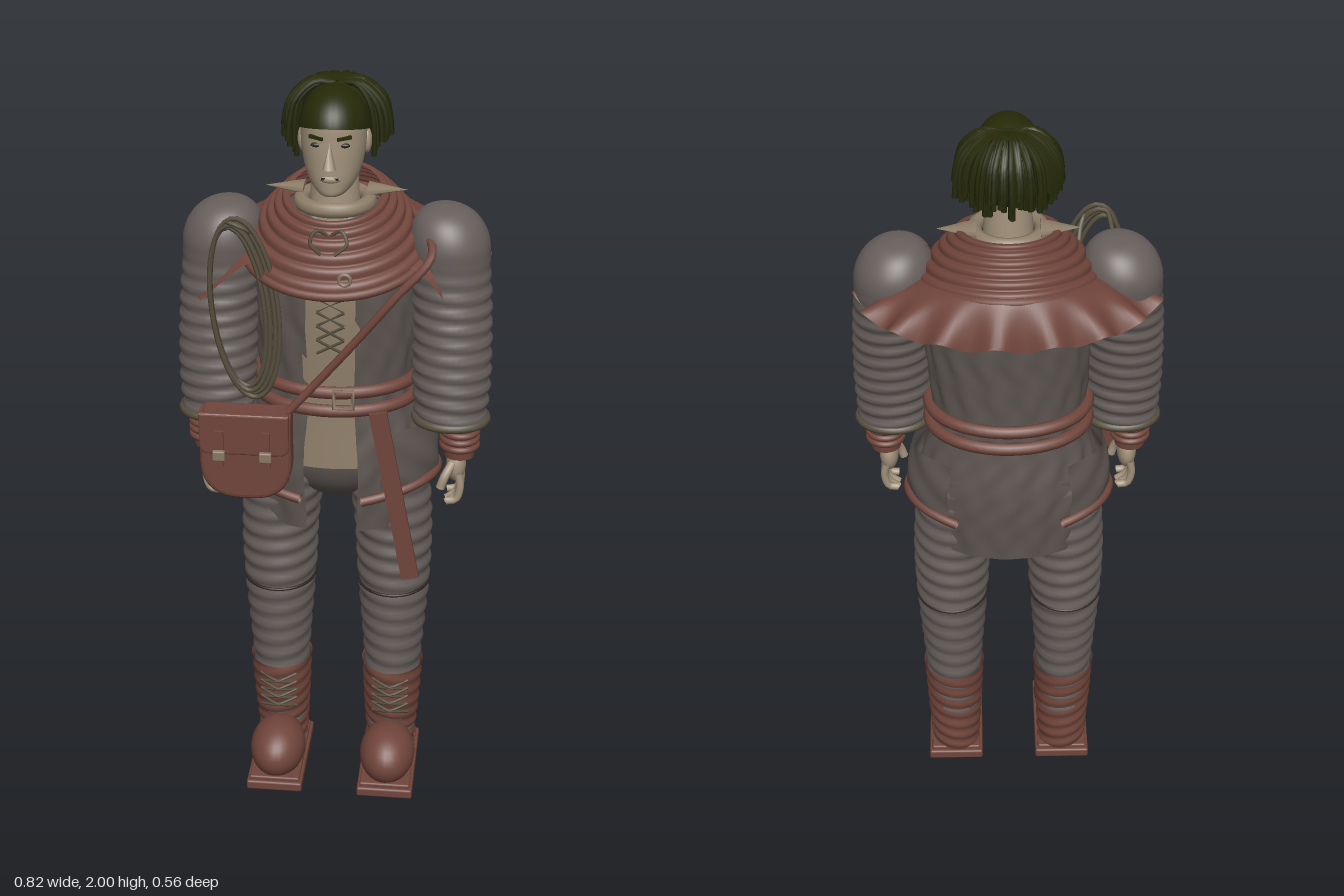
import * as THREE from 'three';
import { mergeVertices } from 'three/addons/utils/BufferGeometryUtils.js';
import { RoundedBoxGeometry } from 'three/addons/geometries/RoundedBoxGeometry.js';

const { sin, cos, PI, abs, min, max } = Math;
const V = (x, y, z) => new THREE.Vector3(x, y, z);
const lerp = THREE.MathUtils.lerp;

function mat(name, color) {
  const m = new THREE.MeshStandardMaterial({ color, side: THREE.DoubleSide });
  m.name = name;
  return m;
}

export function createModel() {
  const grey = mat('quilted grey', 0x675f5c), coatGrey = mat('coat grey', 0x5d5551);
  const brown = mat('leather brown', 0x70453b), shirtTan = mat('shirt tan', 0x8f7f69);
  const skin = mat('skin', 0xa3937c), hairMat = mat('dark olive hair', 0x262a08);
  const ropeMat = mat('rope', 0x57503f), metal = mat('buckle metal', 0x8a7862), dark = mat('dark line', 0x2c2522);

  const model = new THREE.Group();
  let seed = 7;
  const rnd = () => (seed = (seed * 16807) % 2147483647) / 2147483647;

  function add(name, geo, m, parent = model, pos, scale) {
    const mesh = new THREE.Mesh(geo, m);
    mesh.name = name;
    if (pos) mesh.position.set(...pos);
    if (scale) mesh.scale.set(...scale);
    parent.add(mesh);
    return mesh;
  }
  const ball = (name, m, parent, pos, scale) => add(name, new THREE.SphereGeometry(1, 28, 18), m, parent, pos, scale);

  // Grid surface from a rule f(u, v) -> [x, y, z]
  function surface(f, nu, nv) {
    const p = [], idx = [];
    for (let j = 0; j <= nv; j++) for (let i = 0; i <= nu; i++) p.push(...f(i / nu, j / nv));
    for (let j = 0; j < nv; j++) for (let i = 0; i < nu; i++) {
      const a = j * (nu + 1) + i, b = a + 1, c = a + nu + 1;
      idx.push(a, b, c + 1, a, c + 1, c);
    }
    const g = new THREE.BufferGeometry();
    g.setAttribute('position', new THREE.Float32BufferAttribute(p, 3));
    g.setIndex(idx);
    const merged = mergeVertices(g, 1e-5);
    merged.computeVertexNormals();
    return merged;
  }

  // Elliptical cross-sections, rows of [y, cx, cz, rx, rz] from bottom to top
  function loft(rows, { a0 = 0, a1 = 2 * PI, nu = 40, nv = 40, bump = () => 0 } = {}) {
    const c = new THREE.CatmullRomCurve3(rows.map(r => V(r[1], r[0], r[2])), false, 'catmullrom');
    const s = new THREE.CatmullRomCurve3(rows.map(r => V(r[3], r[4], 0)), false, 'catmullrom');
    return surface((u, v) => {
      const a = lerp(a0, a1, u), o = c.getPoint(v), r = s.getPoint(v), b = bump(a, o.y);
      return [o.x + (r.x + b) * sin(a), o.y, o.z + (r.y + b) * cos(a)];
    }, nu, nv);
  }
  const tube = (pts, r, closed = false, seg = 24, sides = 6) =>
    new THREE.TubeGeometry(new THREE.CatmullRomCurve3(pts.map(p => V(...p)), closed), seg, r, sides, closed);
  // Horizontal elliptical band
  const band = (y, cx, cz, rx, rz, r, a0 = 0, a1 = 2 * PI, rise = 0) => {
    const closed = a1 - a0 > 6.2, n = 16, pts = [];
    for (let i = 0; i < n + (closed ? 0 : 1); i++) {
      const a = lerp(a0, a1, i / n);
      pts.push([cx + rx * sin(a), y + rise * sin(a), cz + rz * cos(a)]);
    }
    return tube(pts, r, closed, 48, 8);
  };

  // Limbs, made for the left side and mirrored
  for (const side of [1, -1]) {
    const g = new THREE.Group();
    g.name = side > 0 ? 'leftLimbs' : 'rightLimbs';
    g.scale.x = side;
    model.add(g);
    add('trouserLeg', loft([[0.1, 0.155, 0, 0.065, 0.075], [0.32, 0.157, 0.005, 0.076, 0.092], [0.6, 0.157, 0.004, 0.097, 0.112],
      [0.8, 0.152, 0.004, 0.104, 0.118], [1.05, 0.12, 0, 0.115, 0.13]], { nv: 90, bump: (a, y) => 0.004 * sin(y * 125 + a) }), grey, g);
    add('kneeSeam', band(0.59, 0.157, 0.004, 0.098, 0.113, 0.004), dark, g);
    // Boot with laces
    add('bootShaft', loft([[0.03, 0.155, -0.005, 0.066, 0.068], [0.1, 0.155, -0.003, 0.07, 0.077], [0.2, 0.156, 0.005, 0.077, 0.088],
      [0.325, 0.157, 0.006, 0.083, 0.098]], { bump: (a, y) => 0.003 * sin(y * 150 + 2 * a) }), brown, g);
    ball('bootToe', brown, g, [0.155, 0.085, 0.13], [0.077, 0.08, 0.108]);
    add('sole', new RoundedBoxGeometry(0.155, 0.028, 0.31, 2, 0.006), brown, g, [0.155, 0.014, 0.08]);
    add('soleWelt', new RoundedBoxGeometry(0.14, 0.014, 0.29, 2, 0.005), brown, g, [0.155, 0.032, 0.08]);
    for (let i = 0; i < 4; i++) for (const s of [1, -1])
      add('bootLace', tube([[0.157 - 0.05 * s, 0.19 + i * 0.026, 0.082], [0.157, 0.205 + i * 0.026, 0.106], [0.157 + 0.05 * s, 0.22 + i * 0.026, 0.085]], 0.004, false, 8, 5), ropeMat, g);
    // Sleeve
    add('sleeve', loft([[1.115, 0.305, 0.08, 0.09, 0.078], [1.25, 0.303, 0.07, 0.1, 0.088], [1.4, 0.3, 0.052, 0.1, 0.097],
      [1.53, 0.29, 0.034, 0.103, 0.107], [1.6, 0.286, 0.03, 0.103, 0.112], [1.65, 0.28, 0.03, 0.085, 0.092],
      [1.68, 0.275, 0.03, 0.05, 0.055], [1.69, 0.272, 0.03, 0.001, 0.001]],
    { nv: 90, bump: (a, y) => 0.005 * sin(y * 150 + 1.2 * sin(a)) * THREE.MathUtils.smoothstep(1.58 - y, 0, 0.15) }), grey, g);
    add('sleeveTrim', band(1.125, 0.305, 0.08, 0.092, 0.078, 0.012), ropeMat, g);
    ball('sleeveEnd', grey, g, [0.305, 1.118, 0.08], [0.088, 0.012, 0.076]);
    // Wrist wrap and hand
    add('wristCuff', new THREE.CylinderGeometry(0.046, 0.04, 0.1, 24), brown, g, [0.33, 1.07, 0.088]);
    for (let i = 0; i < 3; i++) add('wristWrap', band(1.052 + i * 0.02, 0.33, 0.088, 0.045, 0.047, 0.009), brown, g);
    ball('palm', skin, g, [0.323, 0.995, 0.09], [0.026, 0.05, 0.042]);
    for (let i = 0; i < 4; i++) {
      const z = 0.055 + i * 0.023, l = i === 0 || i === 3 ? 0.015 : 0;
      add('finger', tube([[0.33, 0.98, z], [0.336, 0.94, z + 0.002], [0.325, 0.905, z + 0.003], [0.3, 0.885 + l, z + 0.004]], 0.0105, false, 10, 8), skin, g);
    }
    add('thumb', tube([[0.315, 1.01, 0.12], [0.295, 0.975, 0.14], [0.285, 0.945, 0.142]], 0.012, false, 8, 8), skin, g);
    // Hip pocket with leather hem
    add('hipPocket', loft([[0.92, 0, 0.008, 0.27, 0.172], [1.0, 0, 0.008, 0.272, 0.18], [1.1, 0, 0.008, 0.252, 0.178]],
      { a0: 0.5, a1: 2.5, nv: 12, bump: (a, y) => 0.003 * sin(a * 9 + y * 60) }), coatGrey, g);
    add('pocketHem', band(0.895, 0, 0.008, 0.27, 0.178, 0.013, 0.3, 2.6, 0.05), brown, g);
    // Shirt collar point
    const tip = add('collarPoint', new THREE.ConeGeometry(0.045, 0.1, 8), shirtTan, g, [0.13, 1.72, 0.02], [0.28, 1, 1]);
    tip.rotation.z = -PI / 2;
  }

  // Coat, shirt and lacing
  const coatRows = [[0.81, 0, 0.005, 0.225, 0.16], [1.0, 0, 0.006, 0.24, 0.17], [1.18, 0, 0.01, 0.202, 0.155], [1.35, 0, 0.012, 0.21, 0.16],
    [1.5, 0, 0.01, 0.212, 0.165], [1.62, 0, 0.005, 0.2, 0.145], [1.69, 0, 0.01, 0.1, 0.09]];
  add('coat', loft(coatRows, { a0: 0.3, a1: 2 * PI - 0.3, nu: 90, nv: 60, bump: (a, y) => 0.005 * sin(a * 16 + 3 * sin(y * 9)) * (0.6 + 0.4 * sin(y * 60)) }), coatGrey);
  add('shirtFront', loft([[1.0, 0, 0.004, 0.235, 0.165], ...coatRows.slice(2, 6).map(r => [r[0], 0, r[2], r[3], r[4] - 0.002])],
    { a0: -0.36, a1: 0.36, nu: 12, nv: 20 }), shirtTan);
  ball('pelvis', coatGrey, model, [0, 1.0, 0], [0.19, 0.15, 0.13]);
  for (let i = 0; i < 5; i++) for (const s of [1, -1])
    add('shirtLace', tube([[-0.035 * s, 1.33 + i * 0.038, 0.17], [0.035 * s, 1.368 + i * 0.038, 0.172]], 0.004, false, 3, 5), ropeMat);

  // Double belt, buckle and hanging end
  for (const y of [1.17, 1.222]) add('belt', band(y, 0, 0.01, 0.208, 0.164, 0.017), brown);
  const buckle = add('beltBuckle', new THREE.TorusGeometry(0.034, 0.006, 6, 4), metal, model, [0.035, 1.21, 0.19]);
  buckle.rotation.z = PI / 4;
  const beltEnd = add('hangingBeltEnd', new THREE.BoxGeometry(0.046, 0.49, 0.012), brown, model, [0.17, 0.945, 0.205]);
  beltEnd.rotation.z = 0.185;

  // Ringed shoulder cape: yoke, then ruffled skirt round the back
  const yoke = (a, t) => {
    const f = (1 + cos(a)) / 2, step = 0.006 * abs(sin(t * PI * 6));
    const rx = lerp(0.115, 0.235, t) + step, rz = lerp(f > 0.5 ? 0.13 : 0.14, f > 0.5 ? 0.22 : 0.25, t) + step;
    const top = lerp(1.745, 1.685, f), drop = lerp(0.1, 0.165, f);
    return [rx * sin(a), top - drop * t ** 1.3 + step, 0.035 + rz * cos(a)];
  };
  add('capeYoke', surface((u, v) => yoke(u * 2 * PI, 1 - v), 72, 60), brown);
  const edge = [];
  for (let i = 0; i < 32; i++) edge.push(yoke(i / 32 * 2 * PI, 1));
  add('capeRim', tube(edge, 0.012, true, 64, 8), brown);
  add('capeSkirt', surface((u, v) => {
    const a = lerp(1.0, 2 * PI - 1.0, u), t = 1 - v, p = yoke(a, 0.95), f = max(0, cos(a));
    const ruffle = 0.014 * sin(a * 17) * t;
    const y = lerp(1.54, 1.44, min(1, f * 1.9)) + ruffle;
    return [lerp(p[0], (0.38 + ruffle) * sin(a), t), lerp(p[1], y, t ** 1.4), lerp(p[2], (0.272 + ruffle) * cos(a), t)];
  }, 120, 16), brown);
  add('capeClasp', new THREE.TorusGeometry(0.014, 0.005, 6, 14), metal, model, [0.045, 1.57, 0.262]);
  for (const s of [1, -1]) add('neckTie', tube([[0, 1.655, 0.19], [0.03 * s, 1.672, 0.2], [0.045 * s, 1.645, 0.215], [0.015 * s, 1.62, 0.23]], 0.005, false, 14, 5), ropeMat);

  // Neck and head
  add('neck', new THREE.CylinderGeometry(0.058, 0.066, 0.14, 24), skin, model, [0, 1.72, 0.055]);
  add('innerCollar', band(1.7, 0, 0.05, 0.085, 0.085, 0.02), shirtTan);
  add('head', loft([[1.742, 0, 0.13, 0.004, 0.006], [1.748, 0, 0.125, 0.032, 0.042], [1.775, 0, 0.1, 0.058, 0.073], [1.82, 0, 0.085, 0.074, 0.089],
    [1.88, 0, 0.08, 0.081, 0.094], [1.94, 0, 0.07, 0.078, 0.098], [1.98, 0, 0.06, 0.045, 0.06]]), skin);
  const nose = add('nose', new THREE.ConeGeometry(0.019, 0.065, 8), skin, model, [0, 1.855, 0.18], [0.9, 1, 1.2]);
  nose.rotation.x = -0.2;
  add('mouth', new THREE.BoxGeometry(0.042, 0.006, 0.008), dark, model, [0, 1.795, 0.171]);
  ball('lips', skin, model, [0, 1.793, 0.166], [0.026, 0.011, 0.011]);
  for (const s of [1, -1]) {
    const brow = add('eyebrow', new THREE.BoxGeometry(0.036, 0.008, 0.009), hairMat, model, [0.034 * s, 1.897, 0.166]);
    brow.rotation.set(0, 0.35 * s, 0.1 * s);
    ball('eye', dark, model, [0.034 * s, 1.878, 0.163], [0.014, 0.006, 0.007]);
    ball('ear', skin, model, [0.08 * s, 1.86, 0.06], [0.012, 0.032, 0.02]);
  }

  // Hair: smooth front cap, skull and radiating locks
  const cap = add('hairCap', new THREE.SphereGeometry(1, 36, 16, 0, 2 * PI, 0, PI / 2), hairMat, model, [0, 1.893, 0.065], [0.088, 0.103, 0.122]);
  cap.rotation.x = -0.25;
  ball('hairBack', hairMat, model, [0, 1.89, 0.015], [0.092, 0.1, 0.085]);
  for (let i = 0; i < 110; i++) {
    const a = lerp(1.25, 2 * PI - 1.25, (i + rnd()) / 110), layer = i % 3;
    const r = 0.092 + layer * 0.014 + 0.008 * rnd(), low = 1.8 + layer * 0.02 + 0.04 * rnd();
    const w = 0.012 * (rnd() - 0.5), sx = sin(a), sz = cos(a);
    const at = (k, y) => [k * r * sx + w * (k > 0.5 ? 1 : 0), y, 0.005 + k * r * sz];
    add('hairLock', tube([at(0.05, 1.985), at(0.5, 1.985 + 0.008 * rnd()), at(0.9, 1.95), at(1.03, 1.9), at(1.02 + 0.06 * rnd(), low)], 0.0075, false, 12, 5), hairMat);
  }

  // Shoulder bag with flap, buckles and diagonal strap
  const bag = new THREE.Group();
  bag.name = 'shoulderBag';
  bag.position.set(-0.215, 0, 0);
  model.add(bag);
  const pouch = (w, top, bottom, r) => {
    const s = new THREE.Shape();
    s.moveTo(-w, top); s.lineTo(-w, bottom + r);
    s.quadraticCurveTo(-w, bottom, -w + r, bottom);
    s.lineTo(w - r, bottom);
    s.quadraticCurveTo(w, bottom, w, bottom + r);
    s.lineTo(w, top);
    return s;
  };
  const slab = (shape, depth, bevel) => new THREE.ExtrudeGeometry(shape, { depth, bevelEnabled: true, bevelSize: bevel, bevelThickness: bevel, bevelSegments: 3, curveSegments: 10 });
  add('bagBody', slab(pouch(0.105, 1.16, 0.945, 0.09), 0.04, 0.014), brown, bag, [0, 0, 0.18]);
  add('bagFlap', slab(pouch(0.11, 1.178, 1.075, 0.02), 0.008, 0.006), brown, bag, [0, 0, 0.237]);
  add('bagTop', new RoundedBoxGeometry(0.22, 0.02, 0.08, 2, 0.008), brown, bag, [0, 1.172, 0.21]);
  for (const x of [-0.062, 0.058]) {
    add('bagTab', new THREE.BoxGeometry(0.022, 0.1, 0.008), brown, bag, [x, 1.09, 0.258]);
    add('bagBuckle', new RoundedBoxGeometry(0.032, 0.028, 0.014, 2, 0.004), metal, bag, [x, 1.075, 0.268]);
  }
  add('bagStrap', tube([[-0.12, 1.16, 0.205], [-0.04, 1.25, 0.195], [0.06, 1.37, 0.197], [0.16, 1.495, 0.195], [0.25, 1.6, 0.155], [0.2, 1.66, 0.02]], 0.011, false, 40, 8), brown);

  // Coiled rope hanging from the right shoulder
  for (let k = 0; k < 4; k++) {
    const pts = [], rx = 0.068 + 0.006 * k, ry = 0.215 + 0.009 * k;
    for (let i = 0; i < 20; i++) {
      const a = i / 20 * 2 * PI;
      pts.push([-0.222 + rx * cos(a) - 0.02 * sin(a) + 0.006 * (k - 1.5), 1.45 + ry * sin(a), 0.182 + 0.008 * (k % 2) + 0.008 * cos(a)]);
    }
    add('ropeCoil', tube(pts, 0.0065, true, 64, 6), ropeMat);
  }
  add('ropeHitch', tube([[-0.27, 1.64, 0.13], [-0.25, 1.68, 0.19], [-0.2, 1.66, 0.19], [-0.18, 1.6, 0.13]], 0.0065, false, 16, 6), ropeMat);

  return model;
}
